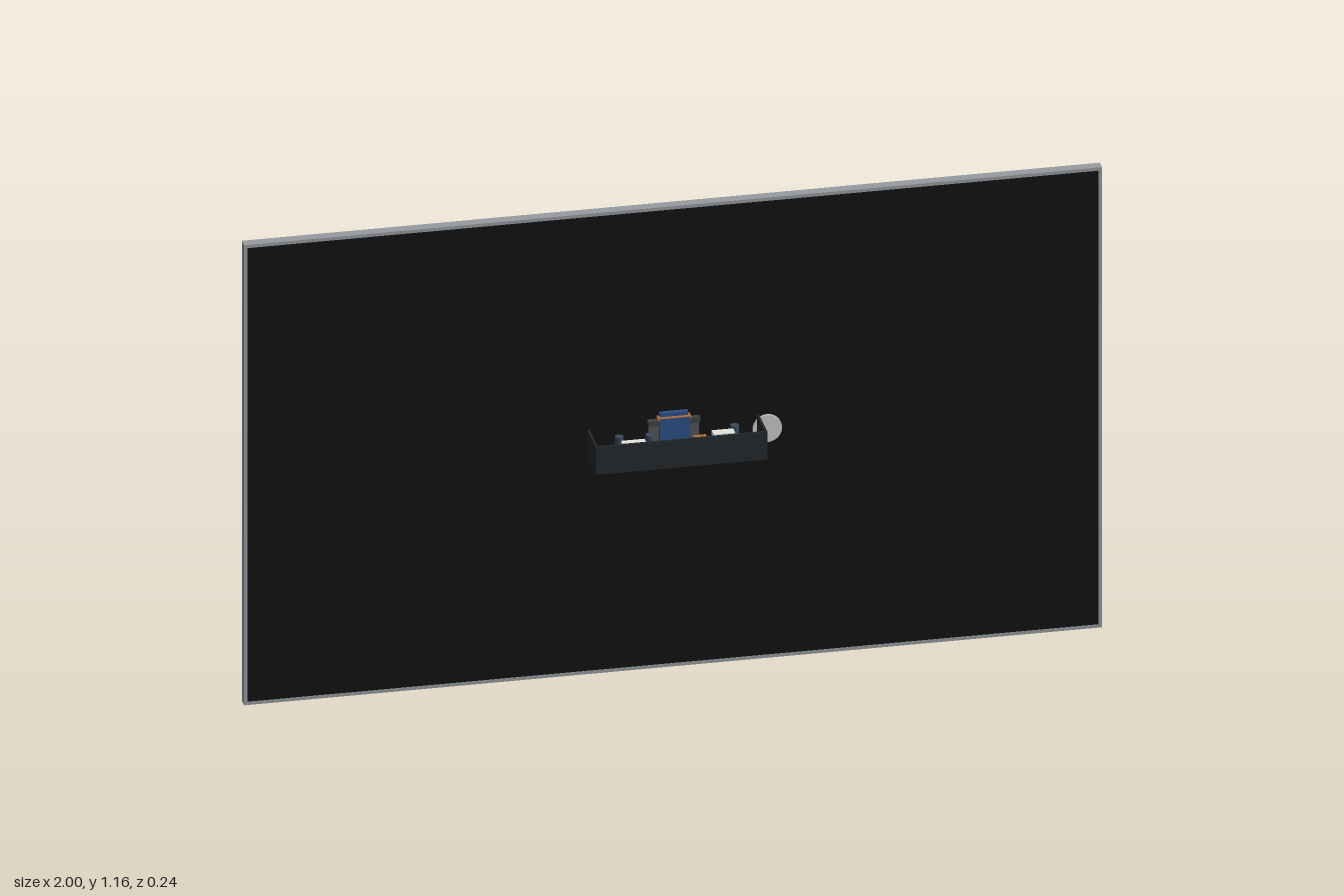
import * as THREE from 'three';
import { RoundedBoxGeometry } from 'three/addons/geometries/RoundedBoxGeometry.js';

const mats = {};
const mat = (color) => (mats[color] ??= new THREE.MeshStandardMaterial({ color }));
const GREY = 0xcccccc, PLATE = 0xa6a8aa, FRAME = 0x989ca0, DARK = 0x24292d, BLACK = 0x121212,
  GREEN = 0x1d5236, COPPER = 0xb06c3a, BLUE = 0x2c5088, WHITE = 0xe4e4e0;

function add(parent, name, geometry, color, x = 0, y = 0, z = 0) {
  const mesh = new THREE.Mesh(geometry, mat(color));
  mesh.name = name;
  mesh.position.set(x, y, z);
  parent.add(mesh);
  return mesh;
}

// Box given by its centre and size
const box = (parent, name, color, x, y, z, w, h, d) =>
  add(parent, name, new THREE.BoxGeometry(w, h, d), color, x, y, z);

// Short cylinder with its axis along z
function disc(parent, name, color, x, y, z, r, d) {
  const mesh = add(parent, name, new THREE.CylinderGeometry(r, r, d, 32), color, x, y, z);
  mesh.rotation.x = Math.PI / 2;
  return mesh;
}

function group(parent, name) {
  const g = new THREE.Group();
  g.name = name;
  parent.add(g);
  return g;
}

function roundedPlate(w, h, d, r) {
  const s = new THREE.Shape();
  const x = w / 2, y = h / 2;
  s.moveTo(-x + r, -y);
  s.lineTo(x - r, -y).quadraticCurveTo(x, -y, x, -y + r);
  s.lineTo(x, y - r).quadraticCurveTo(x, y, x - r, y);
  s.lineTo(-x + r, y).quadraticCurveTo(-x, y, -x, y - r);
  s.lineTo(-x, -y + r).quadraticCurveTo(-x, -y, -x + r, -y);
  return new THREE.ExtrudeGeometry(s, { depth: d, bevelEnabled: false, curveSegments: 6 });
}

function buildPanel(root) {
  const g = group(root, 'panel');
  // Outer frame, screen glass and dark gap behind it
  const rim = new THREE.Shape([[-1, 0], [1, 0], [1, 1.16], [-1, 1.16]].map((p) => new THREE.Vector2(...p)));
  rim.holes.push(new THREE.Path([[-0.992, 0.008], [-0.992, 1.152], [0.992, 1.152], [0.992, 0.008]]
    .map((p) => new THREE.Vector2(...p))));
  add(g, 'frame', new THREE.ExtrudeGeometry(rim, { depth: 0.025, bevelEnabled: false }), FRAME);
  box(g, 'screen', BLACK, 0, 0.58, 0.0195, 1.985, 1.145, 0.009);
  box(g, 'gapLining', 0x1b2126, 0, 0.58, 0.0105, 1.985, 1.145, 0.009);
  for (const s of [-1, 1]) box(g, 'sideRim', FRAME, s * 0.985, 0.58, 0.004, 0.014, 1.144, 0.006);
  box(g, 'backPlate', PLATE, 0, 0.58, 0.003, 1.89, 1.125, 0.01);
  // Pressed ribs
  for (const y of [0.352, 0.588, 0.824]) {
    box(g, 'rib', PLATE, 0, y, -0.003, 1.84, 0.018, 0.004);
    box(g, 'ribCrest', 0x8e9092, 0, y, -0.004, 1.83, 0.006, 0.004);
  }
  // Mounting pads with a small boss
  for (const [x, y] of [[0.6, 0.87], [-0.6, 0.87], [-0.6, 0.287]]) {
    add(g, 'mountPad', new RoundedBoxGeometry(0.06, 0.055, 0.01, 2, 0.004), 0xb4b6b8, x, y, -0.005);
    box(g, 'padBoss', 0x8e9092, x, y, -0.0102, 0.028, 0.025, 0.002);
    disc(g, 'padHole', DARK, x, y, -0.0112, 0.005, 0.001);
  }
  // Screws and vent slots, mirrored
  for (const s of [-1, 1]) {
    for (const x of [0.495, 0.92]) for (const y of [0.085, 1.04])
      disc(g, 'screw', 0x3a3d40, s * x, y, -0.003, 0.006, 0.004);
    for (let i = 0; i < 5; i++)
      box(g, 'topSlot', BLACK, s * (0.12 + i * 0.186), 1.122, -0.0025, 0.018, 0.012, 0.002);
  }
}

function buildElectronics(root) {
  const g = group(root, 'rearElectronics');
  for (const s of [-1, 1]) {
    // Upper driver strips with chips
    box(g, 'driverStrip', GREEN, s * 0.5, 1.08, -0.0035, 0.84, 0.042, 0.004);
    for (let i = 0; i < 7; i++)
      box(g, 'driverChip', BLACK, s * (0.12 + i * 0.126), 1.08, -0.0062, 0.018, 0.012, 0.003);
    // Flat cables down to the lower board
    box(g, 'flatCable', 0x17191b, s * 0.224, 0.63, -0.005, 0.022, 0.87, 0.004);
    box(g, 'ribbonConnector', COPPER, s * 0.16, 0.198, -0.007, 0.058, 0.062, 0.004);
  }
  box(g, 'controlBoard', GREEN, 0, 0.126, -0.004, 0.45, 0.145, 0.005);
  for (const [x, w, h] of [[0.057, 0.065, 0.042], [-0.034, 0.036, 0.026], [-0.122, 0.055, 0.038]])
    box(g, 'controlChip', BLACK, x, 0.13, -0.008, w, h, 0.005);
  // Loose power lead
  const path = new THREE.CatmullRomCurve3([[0.44, 0.24, -0.014], [0.375, 0.195, -0.015], [0.315, 0.155, -0.014],
    [0.26, 0.133, -0.012], [0.21, 0.123, -0.009]].map((p) => new THREE.Vector3(...p)));
  add(g, 'powerLead', new THREE.TubeGeometry(path, 32, 0.007, 10), BLACK);
  for (const t of [0, 1]) add(g, 'leadEnd', new THREE.SphereGeometry(0.007, 10, 8), BLACK).position.copy(path.getPoint(t));
  // Rating sticker: plain bars only
  box(g, 'sticker', 0xb8babc, 0.585, 0.287, -0.0025, 0.22, 0.1, 0.002);
  for (let i = 0; i < 5; i++)
    box(g, 'stickerLine', 0x44474a, 0.62 - (i % 2) * 0.008, 0.325 - i * 0.013, -0.0038, 0.12 - (i % 2) * 0.016, 0.004, 0.001);
  for (let i = 0; i < 9; i++)
    box(g, 'stickerBar', BLACK, 0.56 - i * 0.009, 0.26, -0.0038, i % 3 ? 0.003 : 0.006, 0.026, 0.001);
}

function buildBracket(root) {
  const g = group(root, 'bracket');
  // Rounded cover with a stepped edge
  add(g, 'bracketBase', roundedPlate(0.6, 0.156, 0.022, 0.018), GREY, 0, 0.582, -0.022);
  add(g, 'bracketFace', roundedPlate(0.575, 0.132, 0.01, 0.014), GREY, 0, 0.582, -0.03);
  for (const s of [-1, 1]) disc(g, 'bracketScrew', 0x666a6e, s * 0.27, 0.582, -0.0305, 0.006, 0.002);
  disc(g, 'frontDisc', GREY, 0.219, 0.58, 0.025, 0.034, 0.01);
}

function buildTray(root) {
  const g = group(root, 'tray');
  // Open-topped housing
  box(g, 'trayFloor', DARK, 0, 0.5475, 0, 0.4, 0.005, 0.236);
  box(g, 'trayLining', 0xb2b4b6, 0, 0.5515, 0, 0.39, 0.003, 0.226);
  for (const s of [-1, 1]) {
    box(g, 'longWall', DARK, 0, 0.58, s * 0.1155, 0.4, 0.07, 0.005);
    box(g, 'endWall', DARK, s * 0.1975, 0.58, 0, 0.005, 0.07, 0.226);
    for (const z of [-0.1, 0.1])
      add(g, 'standoff', new THREE.CylinderGeometry(0.007, 0.007, 0.006, 16), 0x777b7e, s * 0.18, 0.556, z);
  }
  // Circuit board with its components
  box(g, 'circuitBoard', GREEN, 0, 0.56, -0.002, 0.31, 0.005, 0.195);
  const parts = [[-0.09, -0.06, 0.045, 0.035, 0.022, WHITE], [-0.035, -0.06, 0.04, 0.04, 0.022, GREY],
    [0.09, -0.065, 0.02, 0.025, 0.02, BLACK], [0.125, -0.06, 0.02, 0.02, 0.025, BLACK],
    [-0.1, 0.065, 0.055, 0.032, 0.022, WHITE], [0.11, 0.06, 0.05, 0.035, 0.024, WHITE],
    [0.055, 0.065, 0.03, 0.03, 0.02, COPPER], [0.01, 0.085, 0.27, 0.022, 0.008, 0x8c9093],
    [0.02, -0.085, 0.03, 0.03, 0.016, COPPER]];
  for (const [x, z, w, h, d, c] of parts) box(g, 'boardPart', c, x, 0.5625 + h / 2, z, w, h, d);
  for (const [x, z] of [[-0.13, -0.02], [-0.13, 0.045], [0.08, -0.04], [0.14, 0.04], [-0.06, 0.05]])
    add(g, 'capacitor', new THREE.CylinderGeometry(0.01, 0.01, 0.04, 16), 0x3a4a5c, x, 0.582, z);

  // Transformer passing through the housing floor
  const t = group(g, 'transformer');
  box(t, 'transformerCore', 0x52575c, 0, 0.58, 0, 0.116, 0.094, 0.07);
  box(t, 'transformerWinding', BLUE, 0, 0.58, 0, 0.066, 0.13, 0.07);
  box(t, 'transformerBelt', BLUE, 0, 0.58, 0.002, 0.07, 0.11, 0.086);
  for (const s of [-1, 1]) {
    box(t, 'coreCap', 0x3c4146, 0, 0.58 + s * 0.042, 0, 0.122, 0.012, 0.078);
    box(t, 'windingTape', COPPER, 0, 0.58 + s * 0.0525, 0, 0.078, 0.006, 0.088);
  }
}

export function createModel() {
  const root = new THREE.Group();
  root.name = 'displayPanel';
  buildPanel(root);
  buildElectronics(root);
  buildBracket(root);
  buildTray(root);
  return root;
}
